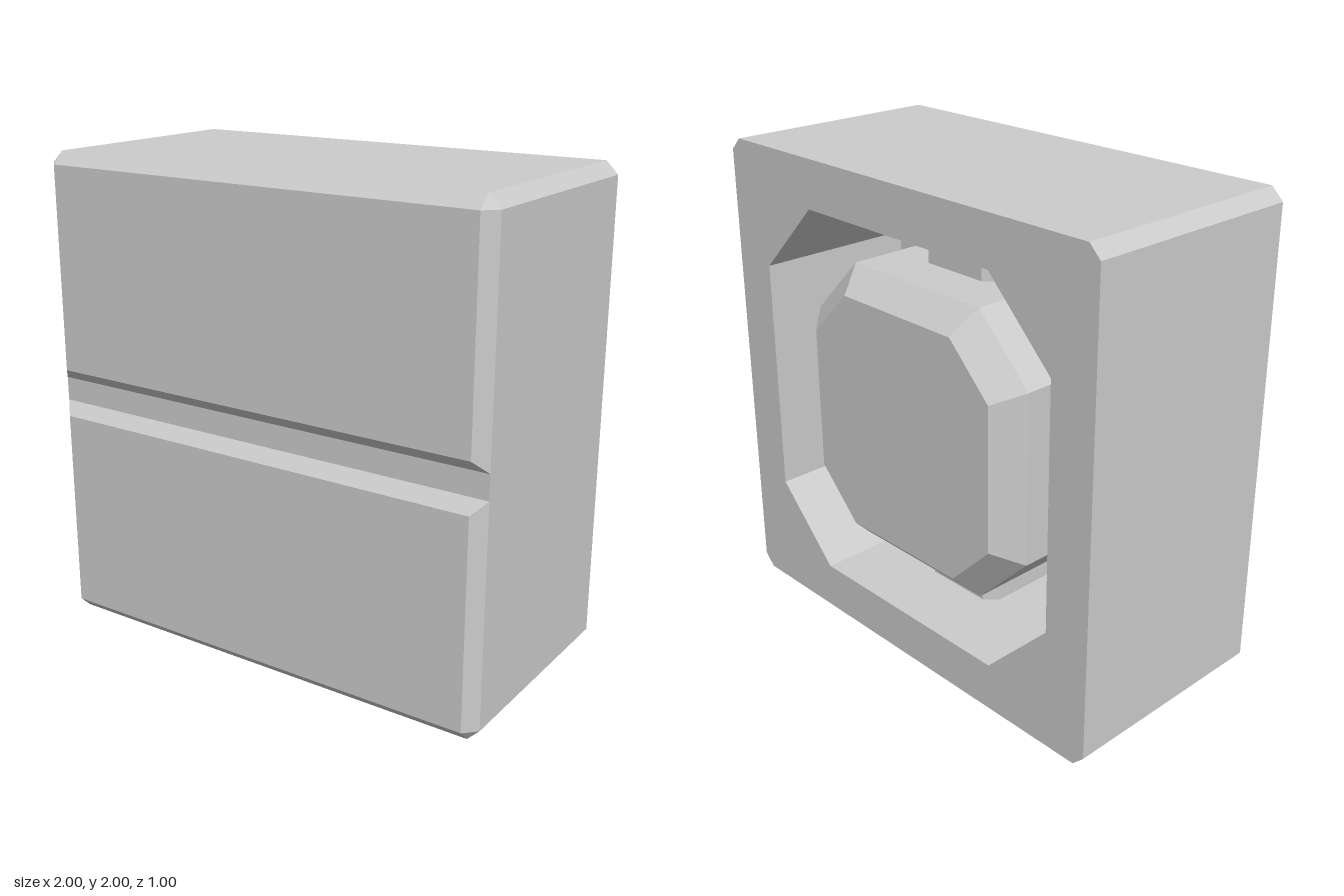
import * as THREE from 'three';
import { ConvexGeometry } from 'three/addons/geometries/ConvexGeometry.js';

const material = new THREE.MeshStandardMaterial({ color: 0xcccccc, flatShading: true });

// Corners of a square of the given half size with its corners cut off
function octagon(half, cut) {
  const k = half - cut;
  return [[half, -k], [half, k], [k, half], [-k, half], [-half, k], [-half, -k], [-k, -half], [k, -half]]
    .map(([x, y]) => new THREE.Vector2(x, y));
}

function prism(points, zBack, zFront, hole) {
  const shape = new THREE.Shape(points);
  if (hole) shape.holes.push(new THREE.Path(hole));
  return new THREE.ExtrudeGeometry(shape, { depth: zFront - zBack, bevelEnabled: false }).translate(0, 0, zBack);
}

export function createModel() {
  const model = new THREE.Group();
  const body = new THREE.Group();
  body.position.y = 1;
  model.add(body);
  const add = (name, geometry) => {
    const mesh = new THREE.Mesh(geometry, material);
    mesh.name = name;
    body.add(mesh);
  };

  // Hollow back shell closed by a solid slab
  const outline = octagon(1, 0.05);
  add('backShell', prism(outline, -0.5, 0.2, octagon(0.8, 0.3)));
  add('frontSlab', prism(outline, 0.2, 0.45));

  // Bevelled front panels, mirrored above and below the groove
  for (const [name, s] of [['upperPanel', 1], ['lowerPanel', -1]]) {
    const points = [];
    for (const x of [-1, 1]) {
      points.push(
        new THREE.Vector3(x, 0.05 * s, 0.45),
        new THREE.Vector3(x, 0.95 * s, 0.45),
        new THREE.Vector3(0.95 * x, s, 0.45),
        new THREE.Vector3(0.95 * x, 0.1 * s, 0.5),
        new THREE.Vector3(0.95 * x, 0.95 * s, 0.5));
    }
    add(name, new ConvexGeometry(points));
  }

  // Central octagonal plug with a bevelled back end
  const plug = [[0.5, 0.2, -0.5], [0.6, 0.25, -0.4], [0.6, 0.25, 0.2]].flatMap(([half, cut, z]) =>
    octagon(half, cut).map((p) => new THREE.Vector3(p.x, p.y, z)));
  add('plug', new ConvexGeometry(plug));

  // Chamfered ribs joining the plug to the shell walls
  const profile = [[-0.2, -0.2], [0.2, -0.2], [0.2, 0.15], [0.15, 0.2], [-0.15, 0.2], [-0.2, 0.15]]
    .map(([x, y]) => new THREE.Vector2(x, y));
  ['topRib', 'leftRib', 'bottomRib', 'rightRib'].forEach((name, i) => {
    const rib = prism(profile, 0.55, 0.8);
    rib.rotateX(-Math.PI / 2).rotateZ(-i * Math.PI / 2);
    add(name, rib);
  });

  return model;
}
